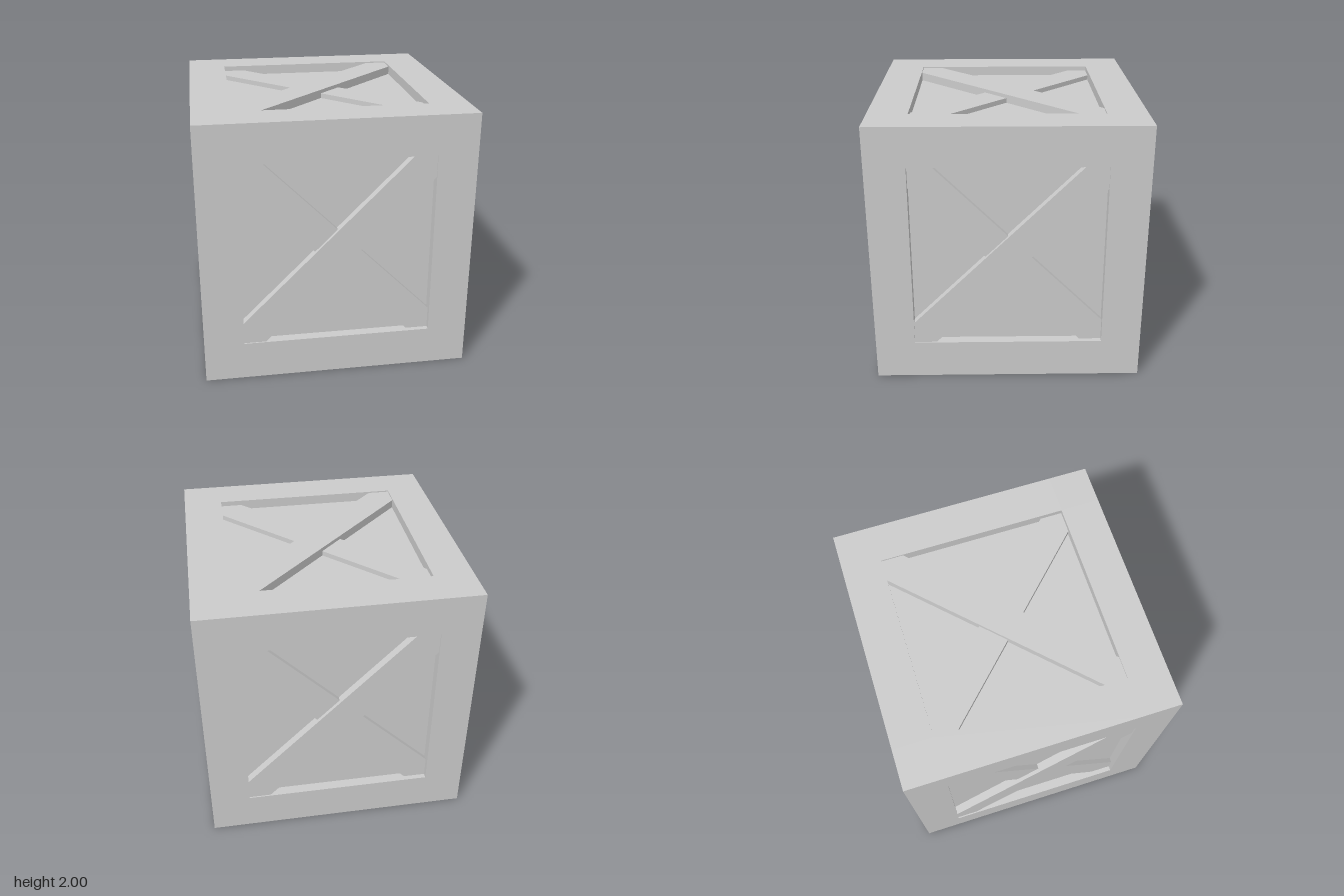
import * as THREE from 'three';

const INNER = 0.705;              // half width of each face opening
const BEAM = 1 - INNER;           // thickness of the frame beams
const PANEL = 0.925;              // distance of the panels from the centre
const CUT = 0.165;                // corner offset that sets the brace width

// Diagonal brace with pointed ends that fill two corners of the opening
function braceGeometry(front, mirror) {
  const a = INNER, b = INNER - CUT;
  const points = [[-a, -a], [-b, -a], [a, b], [a, a], [b, a], [-a, -b]];
  const shape = new THREE.Shape(points.map(([x, y]) => new THREE.Vector2(x * mirror, y)));
  const back = PANEL - 0.01;
  const geometry = new THREE.ExtrudeGeometry(shape, { depth: front - back, bevelEnabled: false });
  return geometry.translate(0, 0, back);
}

export function createModel() {
  const crate = new THREE.Group();
  crate.name = 'crate';
  const material = new THREE.MeshStandardMaterial({ color: 0xcccccc, flatShading: true });

  const add = (parent, name, geometry) => {
    const mesh = new THREE.Mesh(geometry, material);
    mesh.name = name;
    parent.add(mesh);
    return mesh;
  };

  // Inner box whose six sides are the recessed panels
  add(crate, 'panels', new THREE.BoxGeometry(2 * PANEL, 2 * PANEL, 2 * PANEL)).position.y = 1;

  // Frame: four posts, with rails butted between them at top and bottom
  const post = new THREE.BoxGeometry(BEAM, 2, BEAM);
  const railX = new THREE.BoxGeometry(2 * INNER, BEAM, BEAM);
  const railZ = new THREE.BoxGeometry(BEAM, BEAM, 2 * INNER);
  const c = 1 - BEAM / 2;
  for (const s of [-1, 1]) {
    for (const t of [-1, 1]) {
      add(crate, 'post', post).position.set(s * c, 1, t * c);
      add(crate, 'railAcross', railX).position.set(0, 1 + s * c, t * c);
      add(crate, 'railAlong', railZ).position.set(t * c, 1 + s * c, 0);
    }
  }

  // Crossed braces on all six faces, one set deeper than the other
  const upper = braceGeometry(0.99, 1);
  const lower = braceGeometry(0.962, -1);
  const q = Math.PI / 2;
  const faces = {
    front: [0, 0], right: [0, q], back: [0, 2 * q], left: [0, -q], top: [-q, 0], bottom: [q, 0],
  };
  for (const [name, [rx, ry]] of Object.entries(faces)) {
    const face = new THREE.Group();
    face.name = name + 'Braces';
    face.position.y = 1;
    face.rotation.set(rx, ry, 0);
    add(face, 'upperBrace', upper);
    add(face, 'lowerBrace', lower);
    crate.add(face);
  }
  return crate;
}
